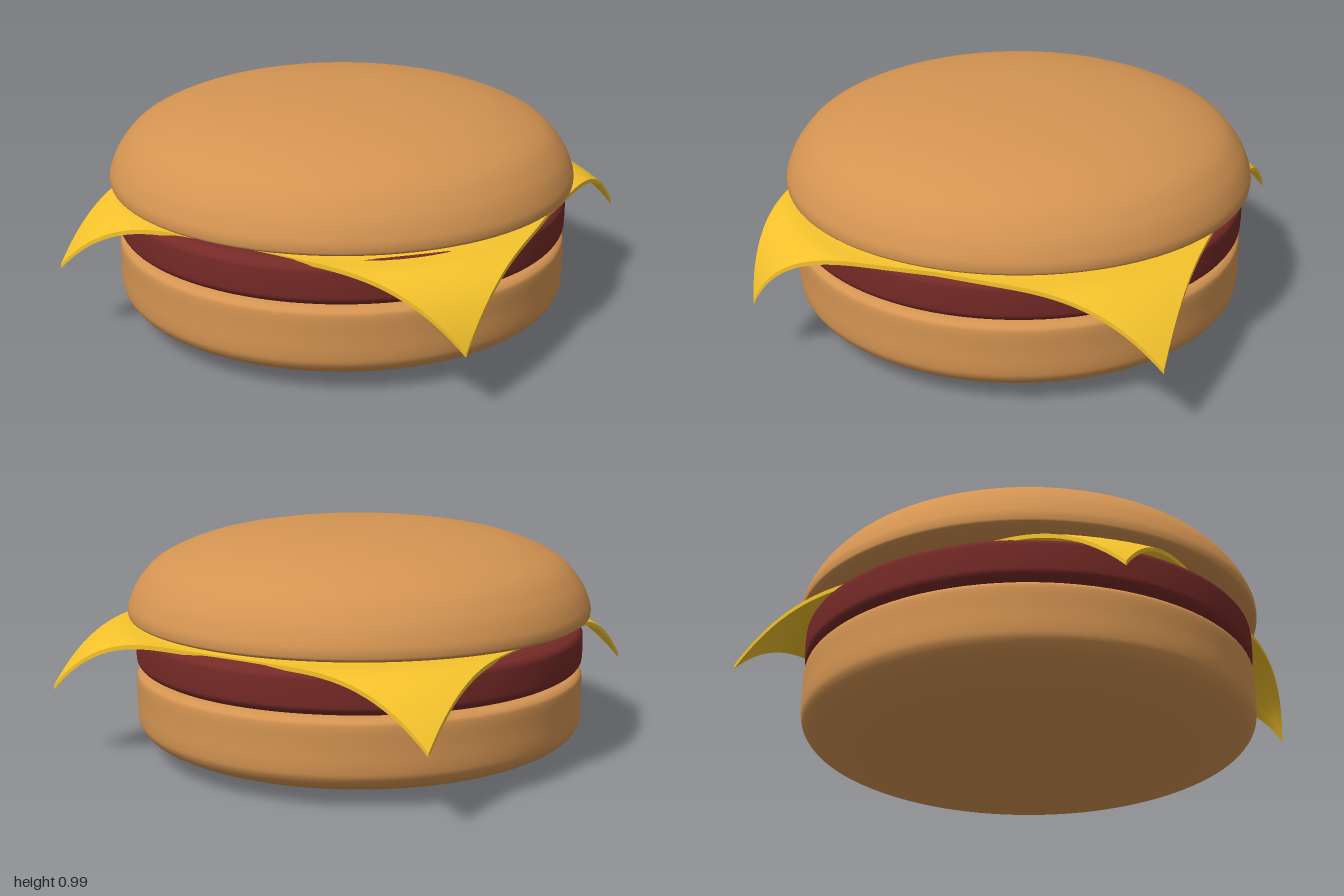
import * as THREE from 'three';

const paint = (color) => new THREE.MeshStandardMaterial({ color });

// Round part turned from a smooth profile of [radius, height] points, bottom to top
function turned(name, points, material) {
  const curve = new THREE.SplineCurve(points.map(([r, y]) => new THREE.Vector2(r, y)));
  const profile = curve.getPoints(points.length * 5);
  profile.forEach((p) => { p.x = Math.max(p.x, 0); });
  const mesh = new THREE.Mesh(new THREE.LatheGeometry(profile, 96), material);
  mesh.name = name;
  return mesh;
}

// Square slice whose corners hang down; the front left corner also curls under
function cheeseSlice() {
  const size = 1.81, half = size / 2;
  const geometry = new THREE.BoxGeometry(size, 0.018, size, 48, 1, 48);
  const pos = geometry.attributes.position;
  for (let i = 0; i < pos.count; i++) {
    const x = pos.getX(i), y = pos.getY(i), z = pos.getZ(i);
    const r = Math.hypot(x, z);
    const sag = 0.035 * THREE.MathUtils.smoothstep(r, 0.7, 0.92);
    const hang = 2.2 * Math.max(0, r - 0.95) ** 2;
    const q = Math.max(0, x) * Math.max(0, z) / (half * half);
    const bulge = q * (1 - q), curl = q ** 4;
    pos.setXYZ(i,
      x + 0.09 * bulge - 0.02 * curl,
      y - sag - hang - 0.05 * q * q,
      z + 0.04 * bulge - 0.08 * curl);
  }
  geometry.computeVertexNormals();
  const mesh = new THREE.Mesh(geometry, paint(0xf4c22c));
  mesh.name = 'cheeseSlice';
  mesh.position.set(0.045, 0.587, -0.015);
  return mesh;
}

export function createModel() {
  const group = new THREE.Group();
  group.name = 'cheeseburger';
  const bread = paint(0xd49452);

  group.add(turned('bottomBun', [
    [0, 0], [0.35, 0.005], [0.65, 0.02], [0.82, 0.045], [0.92, 0.085], [0.96, 0.125], [0.97, 0.17],
    [0.97, 0.25], [0.97, 0.33], [0.96, 0.355], [0.93, 0.367], [0.85, 0.37], [0.4, 0.37], [0, 0.37],
  ], bread));

  group.add(turned('patty', [
    [0, 0.37], [0.5, 0.37], [0.88, 0.372], [0.94, 0.38], [0.965, 0.4], [0.97, 0.43],
    [0.97, 0.5], [0.965, 0.53], [0.94, 0.548], [0.88, 0.555], [0.5, 0.555], [0, 0.555],
  ], paint(0x752a27)));

  group.add(cheeseSlice());

  group.add(turned('topBun', [
    [0, 0.58], [0.5, 0.58], [0.85, 0.582], [0.95, 0.587], [0.99, 0.597], [1, 0.615], [0.993, 0.66],
    [0.95, 0.745], [0.86, 0.835], [0.68, 0.912], [0.47, 0.955], [0.25, 0.978], [0, 0.985],
  ], bread));

  return group;
}
